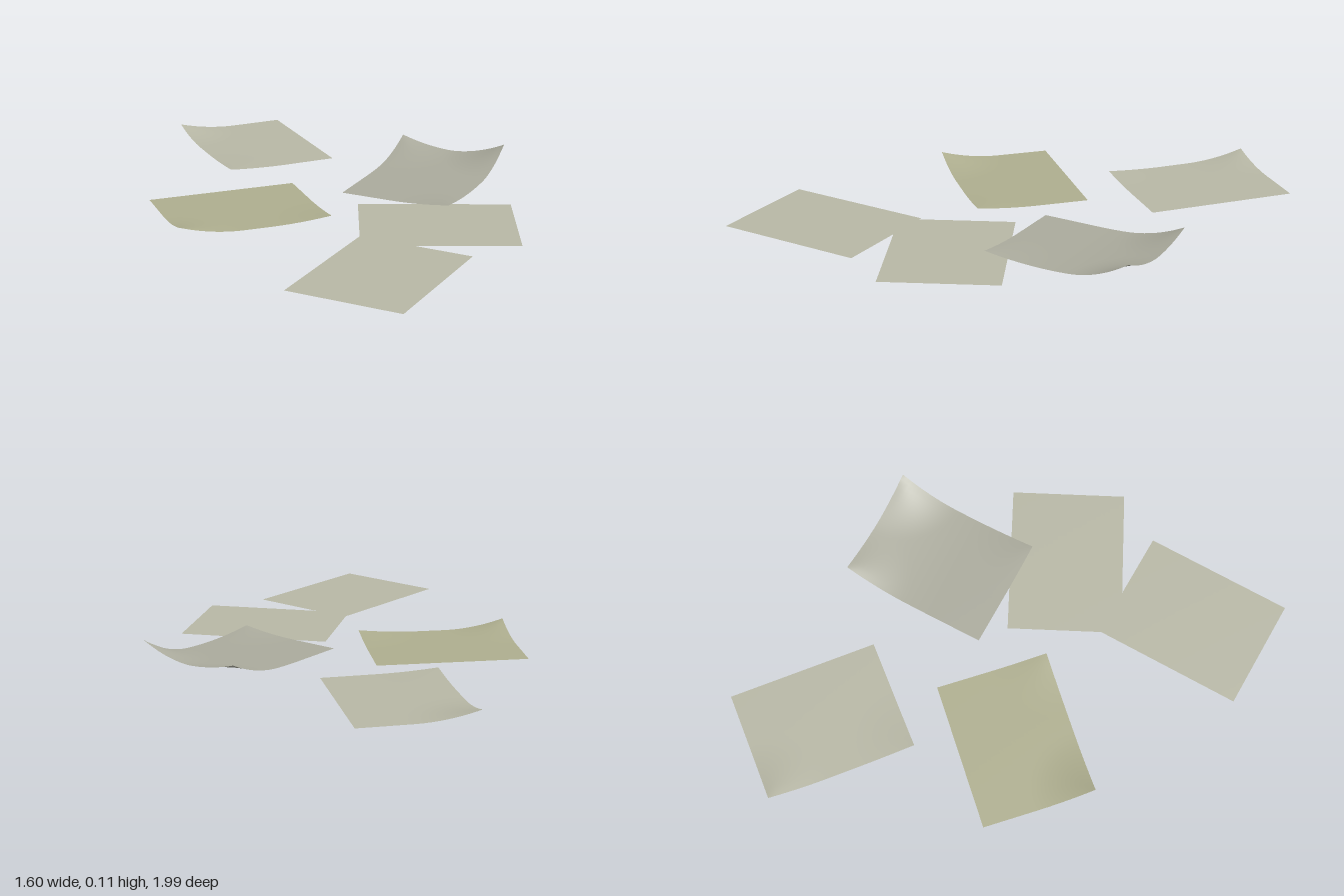
import * as THREE from 'three';

const LENGTH = 0.6, WIDTH = 0.456;

// One loose sheet: a fine grid whose corners (and optionally its +x end) curl upward.
// lifts: corner heights in the order back-left, back-right, front-right, front-left.
function makeSheet({ name, color, x, y, z, angle, lifts = [0, 0, 0, 0], endLift = 0, radius = 0.25 }) {
  const geometry = new THREE.PlaneGeometry(LENGTH, WIDTH, 32, 24).rotateX(-Math.PI / 2);
  const corners = [[-1, -1], [1, -1], [1, 1], [-1, 1]];
  const pos = geometry.attributes.position;
  for (let i = 0; i < pos.count; i++) {
    const px = pos.getX(i), pz = pos.getZ(i);
    const along = Math.max(0, (px / LENGTH + 0.1) / 0.6);
    let h = endLift * along * along;
    corners.forEach(([sx, sz], k) => {
      const d = Math.hypot(px - sx * LENGTH / 2, pz - sz * WIDTH / 2);
      h += lifts[k] * Math.max(0, 1 - d / radius) ** 2;
    });
    pos.setY(i, h);
  }
  geometry.computeVertexNormals();
  const mesh = new THREE.Mesh(geometry, new THREE.MeshStandardMaterial({ color, side: THREE.DoubleSide }));
  mesh.name = name;
  mesh.position.set(x, y, z);
  mesh.rotation.y = -THREE.MathUtils.degToRad(angle);
  return mesh;
}

export function createModel() {
  const group = new THREE.Group();
  group.name = 'scatteredPaperSheets';
  const pale = 0xb6b6a4, olive = 0xadad8e, grey = 0xaaaa9c;

  const sheets = [
    { name: 'leftSheet', color: olive, x: -0.287, y: 0, z: -0.157, angle: 28.4, lifts: [0, 0, 0.015, 0.04] },
    { name: 'middleSheet', color: pale, x: 0.083, y: 0.005, z: 0.535, angle: 48.7 },
    { name: 'frontSheet', color: pale, x: -0.455, y: 0.01, z: 0.698, angle: -14.2 },
    // strongly curled at its outer end
    { name: 'rightSheet', color: grey, x: 0.451, y: 0.013, z: 0.18, angle: -15.3, lifts: [0, 0.04, 0.06, 0.018], endLift: 0.033 },
    { name: 'backSheet', color: pale, x: 0.308, y: 0.02, z: -0.632, angle: 114.6, lifts: [0, 0, 0.011, 0.036] },
  ];
  for (const sheet of sheets) group.add(makeSheet(sheet));
  return group;
}
